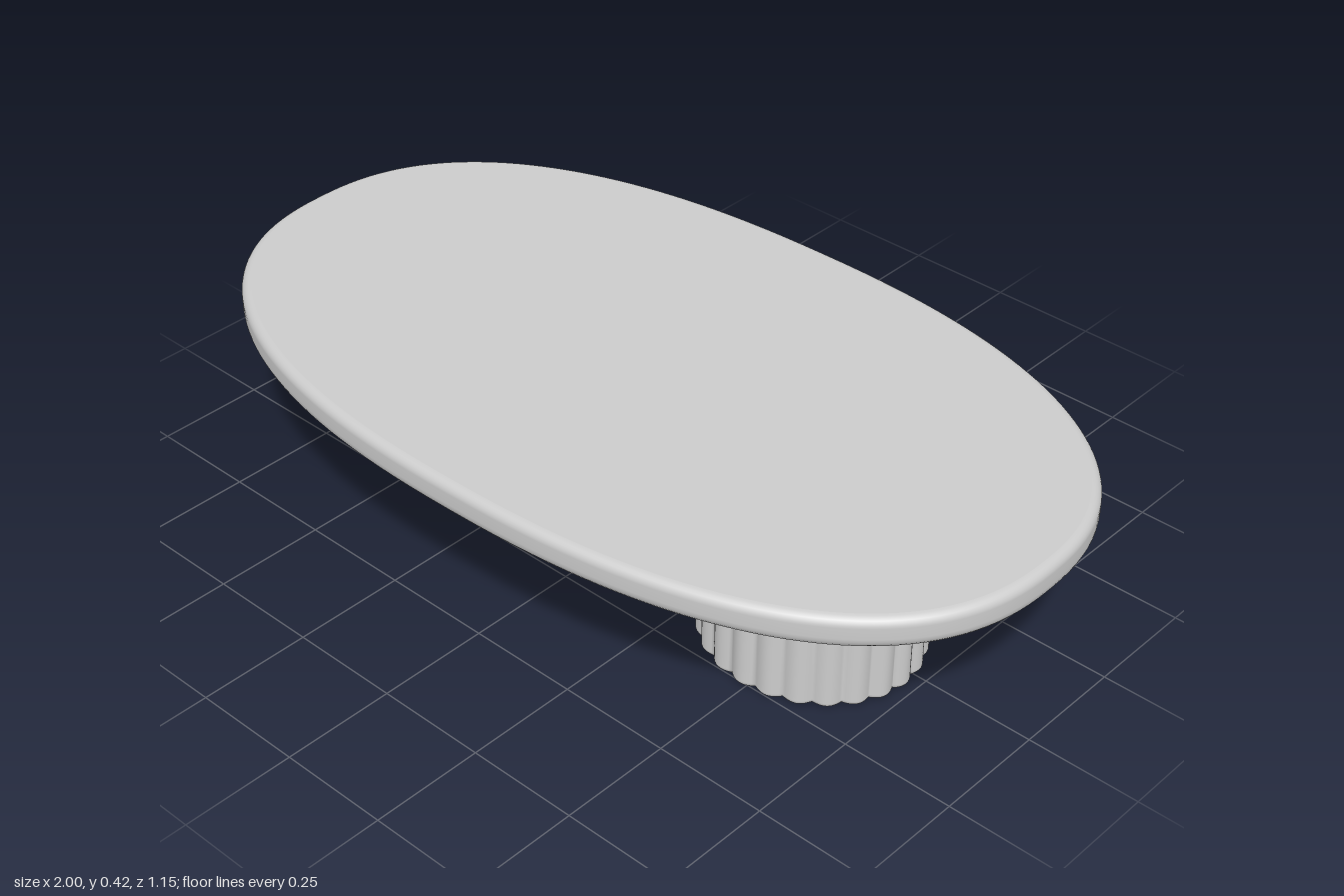
import * as THREE from 'three';

// Closed solid lofted through rings; outline(t, inset) gives [x, z], profile is [inset, y] from bottom to top
function loft(outline, profile, segments) {
  const positions = [], indices = [];
  const addRing = ([inset, y]) => {
    const start = positions.length / 3;
    for (let j = 0; j < segments; j++) {
      const [x, z] = outline((j / segments) * Math.PI * 2, inset);
      positions.push(x, y, z);
    }
    return start;
  };
  const starts = profile.map(addRing);
  for (let i = 0; i < starts.length - 1; i++) {
    for (let j = 0; j < segments; j++) {
      const k = (j + 1) % segments;
      const a = starts[i] + j, b = starts[i] + k, c = starts[i + 1] + j, d = starts[i + 1] + k;
      indices.push(a, c, b, b, c, d);
    }
  }
  // Flat caps with their own vertices
  [[profile[0], false], [profile[profile.length - 1], true]].forEach(([p, up]) => {
    const start = addRing(p);
    const centre = positions.length / 3;
    positions.push(0, p[1], 0);
    for (let j = 0; j < segments; j++) {
      const a = start + j, b = start + ((j + 1) % segments);
      if (up) indices.push(centre, b, a);
      else indices.push(centre, a, b);
    }
  });
  const geometry = new THREE.BufferGeometry();
  geometry.setAttribute('position', new THREE.Float32BufferAttribute(positions, 3));
  geometry.setIndex(indices);
  geometry.computeVertexNormals();
  return geometry;
}

// Vertical side profile with rounded bottom and top edges
function roundedProfile(y0, y1, rBottom, rTop, steps) {
  const profile = [];
  for (let i = 0; i <= steps; i++) {
    const a = (i / steps) * Math.PI / 2;
    profile.push([rBottom * (1 - Math.sin(a)), y0 + rBottom * (1 - Math.cos(a))]);
  }
  for (let i = 0; i <= steps; i++) {
    const a = (i / steps) * Math.PI / 2;
    profile.push([rTop * (1 - Math.cos(a)), y1 - rTop * (1 - Math.sin(a))]);
  }
  return profile;
}

// Superellipse outline of the top
function topOutline(t, inset) {
  const e = 2 / 2.35;
  const c = Math.cos(t), s = Math.sin(t);
  return [
    Math.sign(c) * Math.abs(c) ** e * (1 - inset),
    Math.sign(s) * Math.abs(s) ** e * (0.574 - inset),
  ];
}

// Oval outline with convex flutes
function legOutline(t, inset) {
  const flutes = 24, depth = 0.012;
  const dip = depth * (1 - Math.abs(Math.cos((t * flutes) / 2)));
  return [Math.cos(t) * (0.245 - dip - inset), Math.sin(t) * (0.222 - dip - inset)];
}

export function createModel() {
  const model = new THREE.Group();
  model.name = 'coffeeTable';
  const grey = new THREE.MeshStandardMaterial({ color: 0xcccccc });
  grey.name = 'light grey';

  // Table top
  const top = new THREE.Mesh(loft(topOutline, roundedProfile(0.343, 0.418, 0.03, 0.02, 6), 160), grey);
  top.name = 'tableTop';
  top.rotation.y = 0.02;
  model.add(top);

  // Two fluted drum legs
  const legGeometry = loft(legOutline, roundedProfile(0, 0.345, 0.012, 0.008, 4), 24 * 10);
  [['leftLeg', 0.487, 0.039], ['rightLeg', -0.53, -0.045]].forEach(([name, x, z]) => {
    const leg = new THREE.Mesh(legGeometry, grey);
    leg.name = name;
    leg.position.set(x, 0, z);
    model.add(leg);
  });
  return model;
}
